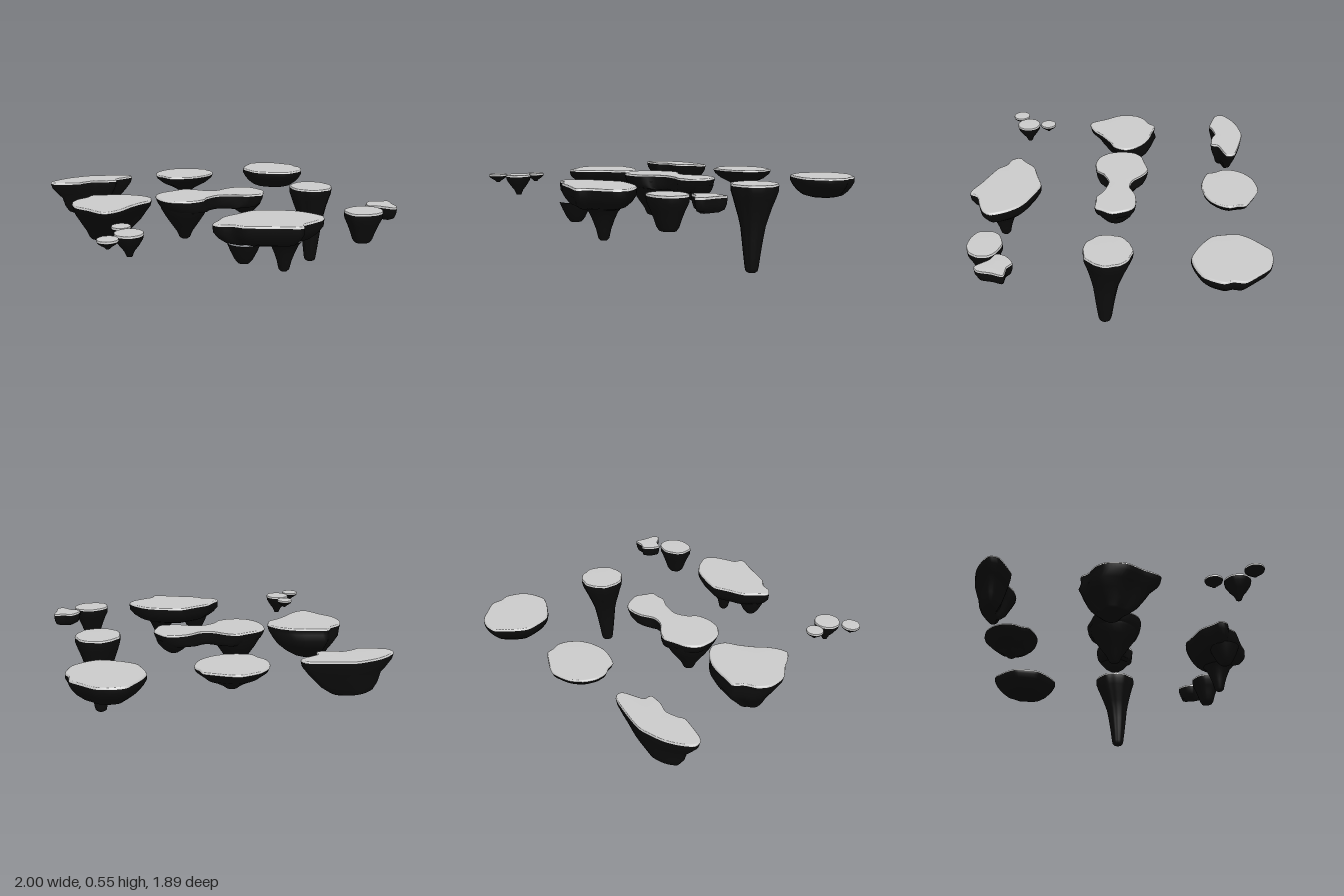
import * as THREE from 'three';

const TOP = 0.545, RIM = 0.533;
const topMat = new THREE.MeshStandardMaterial({ color: 0xcccccc });
const rockMat = new THREE.MeshStandardMaterial({ color: 0x0d0d0d });

// Smooth closed outline through flat [x, z, x, z, ...] points
function outline(flat, count = 72) {
  const pts = [];
  for (let i = 0; i < flat.length; i += 2) pts.push(new THREE.Vector3(flat[i], 0, flat[i + 1]));
  const curve = new THREE.CatmullRomCurve3(pts, true, 'catmullrom', 0.35);
  const loop = curve.getSpacedPoints(count).slice(0, -1).map(p => new THREE.Vector2(p.x, p.z));
  return THREE.ShapeUtils.area(loop) < 0 ? loop.reverse() : loop;
}

// Slightly uneven round outline
function round(cx, cz, rx, rz, wobble = 0.02, seed = 0) {
  return Array.from({ length: 72 }, (_, i) => {
    const a = i / 72 * Math.PI * 2;
    const k = 1 - wobble + wobble * (0.6 * Math.sin(7 * a + seed) + 0.4 * Math.sin(12 * a + 2 * seed));
    return new THREE.Vector2(cx + rx * k * Math.cos(a), cz + rz * k * Math.sin(a));
  });
}

// Skin over rings [scale, y, shiftX, shiftZ] of the outline, closed by a fan at one end
function skin(loop, centre, rings, fanUp) {
  const n = loop.length, pos = [], idx = [];
  for (const [s, y, dx = 0, dz = 0] of rings)
    for (const p of loop)
      pos.push(centre[0] + dx + (p.x - centre[0]) * s, y, centre[1] + dz + (p.y - centre[1]) * s);
  for (let r = 0; r < rings.length - 1; r++)
    for (let i = 0; i < n; i++) {
      const a = r * n + i, b = r * n + (i + 1) % n;
      idx.push(a, b, a + n, b, b + n, a + n);
    }
  const end = fanUp ? rings[0] : rings[rings.length - 1];
  const base = fanUp ? 0 : (rings.length - 1) * n, c = rings.length * n;
  pos.push(centre[0] + (end[2] || 0), end[1], centre[1] + (end[3] || 0));
  for (let i = 0; i < n; i++) {
    const a = base + i, b = base + (i + 1) % n;
    if (fanUp) idx.push(c, b, a); else idx.push(c, a, b);
  }
  const g = new THREE.BufferGeometry();
  g.setAttribute('position', new THREE.Float32BufferAttribute(pos, 3));
  g.setIndex(idx);
  g.computeVertexNormals();
  return g;
}

function addMesh(parent, name, geometry, material) {
  const m = new THREE.Mesh(geometry, material);
  m.name = name;
  parent.add(m);
  return m;
}

// Flat top with a thin rounded lip, and a rocky underside
function island(root, name, loop, centre, under) {
  const g = new THREE.Group();
  g.name = name;
  root.add(g);
  addMesh(g, name + 'Top', skin(loop, centre, [[0.96, TOP], [0.985, TOP - 0.002], [1, RIM]], true), topMat);
  addMesh(g, name + 'Underside', skin(loop, centre, [[1, RIM], ...under], false), rockMat);
  return g;
}

// Round hanging rock; profile is [radius, y] from the top down
function spike(parent, name, x, z, profile) {
  const pts = [[0, profile[profile.length - 1][1]], ...profile.slice().reverse()]
    .map(p => new THREE.Vector2(p[0], p[1]));
  addMesh(parent, name, new THREE.LatheGeometry(pts, 32), rockMat).position.set(x, 0, z);
}

export function createModel() {
  const root = new THREE.Group();
  root.name = 'floatingIslands';

  // Back row
  island(root, 'crescentIsland', outline([
    -1, -0.71, -0.93, -0.77, -0.85, -0.81, -0.71, -0.84, -0.56, -0.815, -0.42, -0.775, -0.405, -0.72,
    -0.53, -0.665, -0.54, -0.615, -0.63, -0.62, -0.7, -0.645, -0.79, -0.62, -0.82, -0.605, -0.98, -0.65]),
  [-0.7, -0.73], [[0.97, 0.5], [0.85, 0.455], [0.74, 0.42], [0.62, 0.36, -0.02], [0.46, 0.315, -0.04], [0.38, 0.305, -0.04]]);

  island(root, 'roundIsland', outline([
    0.23, -0.72, 0.215, -0.66, 0.17, -0.6, 0.1, -0.56, 0.01, -0.54, -0.07, -0.55, -0.15, -0.58, -0.17, -0.63,
    -0.205, -0.68, -0.21, -0.75, -0.18, -0.82, -0.11, -0.88, 0.0, -0.91, 0.07, -0.89, 0.13, -0.86, 0.2, -0.82, 0.21, -0.77]),
  [0.01, -0.72], [[0.95, 0.51], [0.75, 0.475], [0.5, 0.45], [0.3, 0.425], [0.15, 0.4]]);

  island(root, 'bowlIsland', outline([
    0.95, -0.66, 0.93, -0.59, 0.9, -0.54, 0.83, -0.5, 0.75, -0.48, 0.67, -0.51, 0.6, -0.55, 0.54, -0.6, 0.515, -0.68,
    0.505, -0.76, 0.54, -0.83, 0.6, -0.9, 0.64, -0.94, 0.72, -0.945, 0.8, -0.92, 0.86, -0.86, 0.93, -0.78, 0.93, -0.71]),
  [0.73, -0.72], [[1, 0.51], [0.93, 0.48], [0.8, 0.445], [0.63, 0.415], [0.45, 0.405], [0.2, 0.4]]);

  // Middle row
  island(root, 'pointedIsland', outline([
    -0.42, -0.01, -0.45, 0.07, -0.52, 0.11, -0.6, 0.17, -0.66, 0.23, -0.72, 0.27, -0.78, 0.285, -0.82, 0.24,
    -0.86, 0.17, -0.92, 0.09, -0.935, 0.02, -0.93, -0.05, -0.89, -0.11, -0.82, -0.15, -0.78, -0.2, -0.7, -0.185,
    -0.62, -0.17, -0.54, -0.14, -0.46, -0.08]),
  [-0.71, 0.01], [[0.97, 0.5], [0.9, 0.46, 0, -0.03], [0.77, 0.41, 0, -0.03], [0.58, 0.355, -0.01, -0.02],
    [0.42, 0.315, -0.03, -0.02], [0.34, 0.305, -0.04, -0.02]]);

  const twin = island(root, 'twinIsland', outline([
    0.36, 0.01, 0.33, 0.08, 0.31, 0.125, 0.24, 0.125, 0.2, 0.13, 0.13, 0.09, 0.01, 0.065, -0.08, 0.11, -0.12, 0.16,
    -0.21, 0.18, -0.3, 0.16, -0.36, 0.1, -0.385, 0.02, -0.38, -0.07, -0.33, -0.13, -0.24, -0.16, -0.16, -0.185,
    -0.09, -0.15, -0.02, -0.09, 0.06, -0.075, 0.15, -0.12, 0.24, -0.13, 0.31, -0.1]),
  [0, 0], [[0.98, 0.51], [0.94, 0.48], [0.85, 0.455], [0.6, 0.445]]);
  spike(twin, 'largeLobeRock', -0.2, 0,
    [[0.165, 0.5], [0.155, 0.46], [0.13, 0.415], [0.09, 0.355], [0.055, 0.305], [0.035, 0.26], [0.02, 0.25]]);
  spike(twin, 'smallLobeRock', 0.23, 0, [[0.12, 0.5], [0.105, 0.46], [0.07, 0.42], [0.035, 0.395]]);

  island(root, 'pillarIsland', round(0.725, 0, 0.15, 0.15, 0.03, 1), [0.725, 0],
    [[0.99, 0.5], [0.9, 0.46], [0.76, 0.4, 0, 0.005], [0.63, 0.34, 0.003, 0.01], [0.52, 0.28, 0.005, 0.015],
      [0.44, 0.2, 0.005, 0.018], [0.36, 0.11, 0.005, 0.02], [0.29, 0.03, 0.005, 0.02], [0.25, 0.008, 0.005, 0.02], [0.17, 0, 0.005, 0.02]]);

  // Front row: small cluster
  [[-0.74, 0.6, 0.056, 0.49], [-0.725, 0.745, 0.083, 0.41], [-0.855, 0.825, 0.06, 0.49]].forEach(([x, z, r, low], i) => {
    const d = RIM - low;
    island(root, 'isletCluster' + (i + 1), round(x, z, r, r, 0.015, i), [x, z],
      [[0.93, RIM - d * 0.2], [0.65, RIM - d * 0.5], [0.35, RIM - d * 0.75], [0.2, low]]);
  });

  // Front row: wide island with two hanging rocks
  const wide = island(root, 'wideIsland', outline([
    0.44, 0.76, 0.4, 0.82, 0.32, 0.86, 0.25, 0.89, 0.23, 0.94, 0.19, 0.94, 0.1, 0.9, 0, 0.865, -0.09, 0.83,
    -0.14, 0.78, -0.21, 0.76, -0.24, 0.71, -0.19, 0.66, -0.13, 0.59, -0.02, 0.545, 0.08, 0.505, 0.17, 0.525,
    0.27, 0.56, 0.34, 0.6, 0.4, 0.67]),
  [0.1, 0.73], [[0.99, 0.49], [0.9, 0.455], [0.77, 0.425], [0.6, 0.41], [0.3, 0.405]]);
  spike(wide, 'longRock', 0.2, 0.74,
    [[0.11, 0.42], [0.085, 0.39], [0.065, 0.345], [0.045, 0.29], [0.032, 0.235], [0.02, 0.222]]);
  spike(wide, 'shortRock', -0.06, 0.75, [[0.1, 0.43], [0.08, 0.38], [0.055, 0.33], [0.035, 0.305], [0.02, 0.302]]);

  // Front row: stump and small triangular island
  island(root, 'stumpIsland', outline([
    0.85, 0.73, 0.82, 0.79, 0.76, 0.82, 0.68, 0.815, 0.62, 0.78, 0.61, 0.7, 0.64, 0.65, 0.72, 0.615, 0.8, 0.635, 0.84, 0.67]),
  [0.73, 0.72], [[0.98, 0.5], [0.82, 0.46], [0.65, 0.41], [0.52, 0.365], [0.4, 0.345]]);

  island(root, 'triangleIsland', outline([
    1, 0.55, 0.985, 0.62, 0.975, 0.7, 0.94, 0.73, 0.9, 0.69, 0.87, 0.655, 0.815, 0.63, 0.83, 0.57, 0.885, 0.52, 0.93, 0.545]),
  [0.92, 0.61], [[0.97, 0.5], [0.85, 0.47], [0.55, 0.455]]);

  return root;
}
